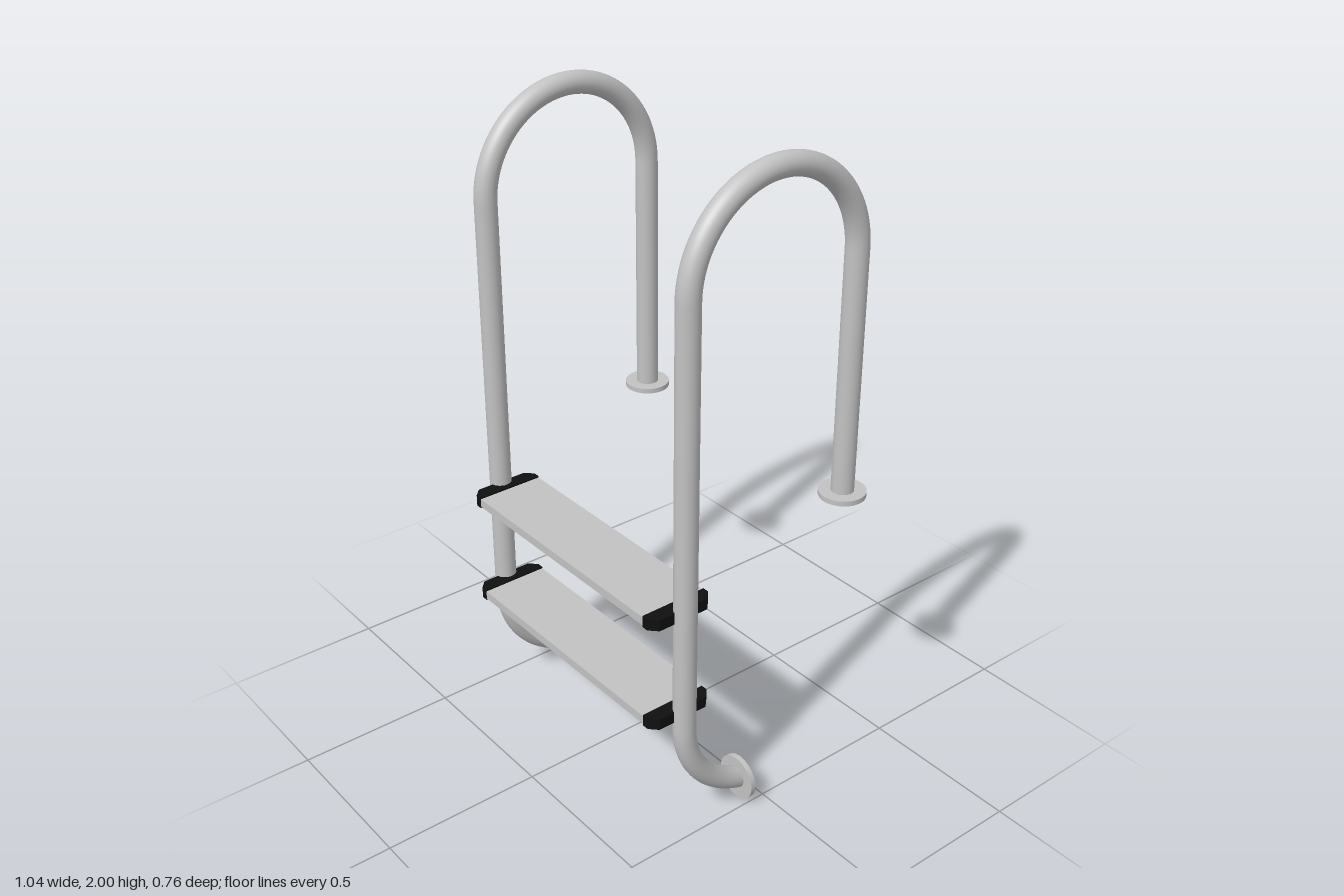
import * as THREE from 'three';

const steel = new THREE.MeshStandardMaterial({ name: 'steel', color: 0xc2c2c2 });
const rubber = new THREE.MeshStandardMaterial({ name: 'blackPlastic', color: 0x101010 });

const RAIL_X = 0.452, TUBE = 0.034, FRONT_Z = 0.27, BACK_Z = -0.312;
const ARCH_R = (FRONT_Z - BACK_Z) / 2, ARCH_Y = 2 - TUBE - ARCH_R;
const BEND_R = 0.303, BEND_Y = 0.36, BEND_ANGLE = 1.26;

function add(parent, name, geometry, material, x = 0, y = 0, z = 0) {
  const mesh = new THREE.Mesh(geometry, material);
  mesh.name = name;
  mesh.position.set(x, y, z);
  parent.add(mesh);
  return mesh;
}

// Straight vertical tube between two heights
function post(parent, name, y0, y1, z) {
  add(parent, name, new THREE.CylinderGeometry(TUBE, TUBE, y1 - y0, 28, 1, true), steel, 0, (y0 + y1) / 2, z);
}

// Curved tube in the yz plane, starting at angle "from" measured from +z
function bend(parent, name, radius, from, arc, y, z) {
  const g = new THREE.TorusGeometry(radius, TUBE, 28, 48, arc).rotateZ(from).rotateY(-Math.PI / 2);
  add(parent, name, g, steel, 0, y, z);
}

function handrail(side) {
  const rail = new THREE.Group();
  rail.name = side > 0 ? 'leftRail' : 'rightRail';
  rail.position.x = side * RAIL_X;
  post(rail, 'frontPost', BEND_Y, ARCH_Y, FRONT_Z);
  post(rail, 'backPost', 0.92, ARCH_Y, BACK_Z);
  bend(rail, 'topArch', ARCH_R, 0, Math.PI, ARCH_Y, (FRONT_Z + BACK_Z) / 2);
  bend(rail, 'lowerBend', BEND_R, -BEND_ANGLE, BEND_ANGLE, BEND_Y, FRONT_Z - BEND_R);
  // Mounting discs for the deck and the wall
  add(rail, 'deckFlange', new THREE.CylinderGeometry(0.07, 0.07, 0.016, 40), steel, 0, 0.924, BACK_Z);
  add(rail, 'wallFlange', new THREE.CylinderGeometry(0.07, 0.07, 0.016, 40).rotateX(Math.PI / 2),
    steel, 0, 0.07, 0.059);
  return rail;
}

// Tread end cap with chamfered outer corners, for the +x side
function capGeometry() {
  const x0 = 0.4, x1 = 0.446, xc = 0.421, half = 0.108, zc = 0.084;
  const shape = new THREE.Shape([
    [x0, -half], [xc, -half], [x1, -zc], [x1, zc], [xc, half], [x0, half],
  ].map(([x, z]) => new THREE.Vector2(x, z)));
  return new THREE.ExtrudeGeometry(shape, { depth: 0.036, bevelEnabled: false })
    .translate(0, 0, -0.018).rotateX(-Math.PI / 2);
}

export function createModel() {
  const model = new THREE.Group();
  model.name = 'poolLadder';
  for (const side of [-1, 1]) model.add(handrail(side));

  // Two treads held between the rails
  for (const [name, y] of [['lowerStep', 0.407], ['upperStep', 0.745]]) {
    const step = new THREE.Group();
    step.name = name;
    step.position.set(0, y, 0.271);
    add(step, 'tread', new THREE.BoxGeometry(0.806, 0.027, 0.214), steel);
    add(step, 'leftCap', capGeometry(), rubber);
    add(step, 'rightCap', capGeometry().rotateY(Math.PI), rubber);
    model.add(step);
  }
  return model;
}
